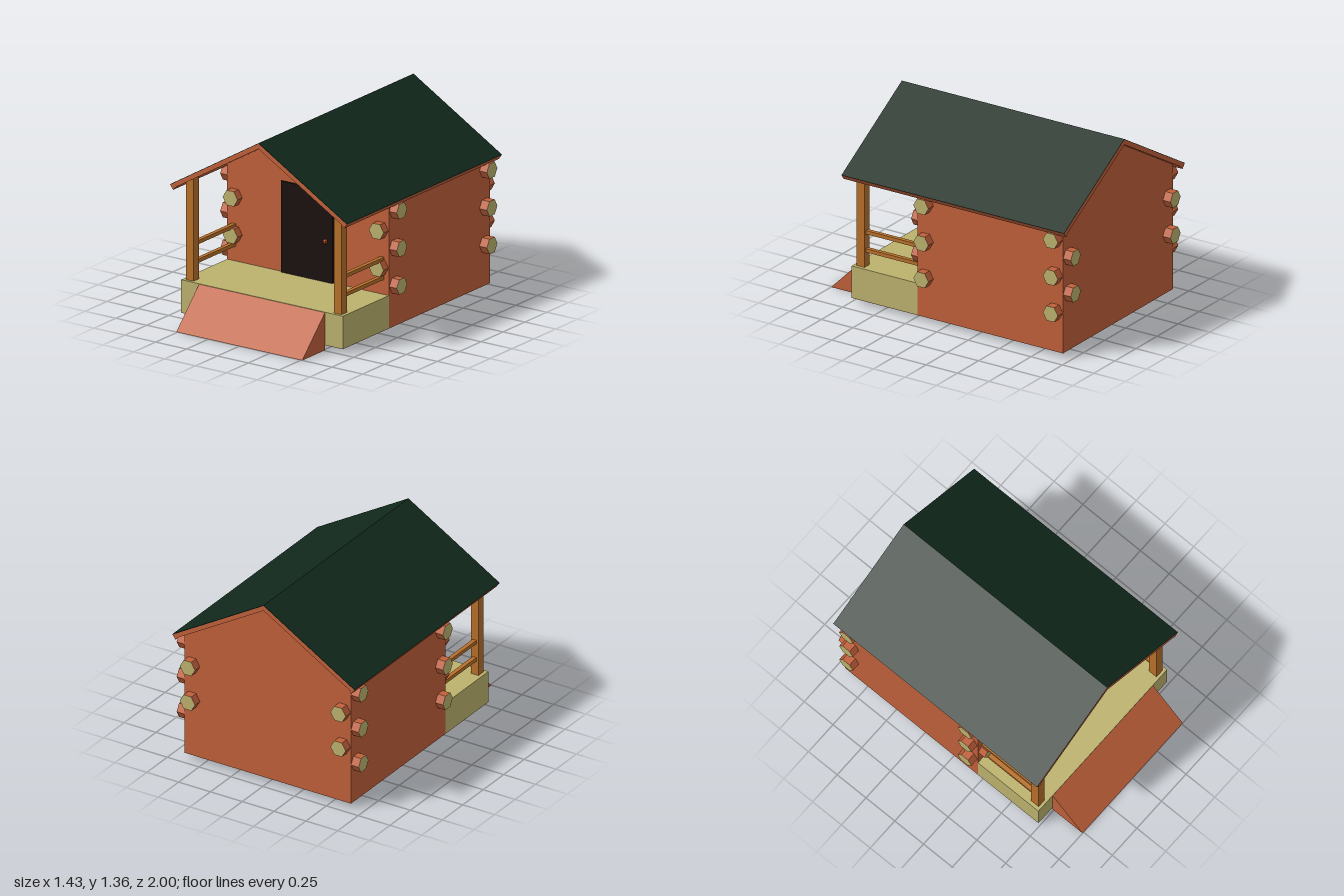
import * as THREE from 'three';

const mat = (color) => new THREE.MeshStandardMaterial({ color, flatShading: true });
const timber = mat(0xc0603a);
const khaki = mat(0xbcb26e);
const postWood = mat(0xb8702a);
const green = mat(0x11281b);
const black = mat(0x1a110e);
const knobRed = mat(0xa03c14);

export function createModel() {
  const model = new THREE.Group();

  const add = (name, geometry, material, x = 0, y = 0, z = 0) => {
    const mesh = new THREE.Mesh(geometry, material);
    mesh.name = name;
    mesh.position.set(x, y, z);
    model.add(mesh);
    return mesh;
  };
  // Box given by its minimum and maximum corners
  const box = (name, material, [x0, y0, z0], [x1, y1, z1]) =>
    add(name, new THREE.BoxGeometry(x1 - x0, y1 - y0, z1 - z0), material,
      (x0 + x1) / 2, (y0 + y1) / 2, (z0 + z1) / 2);
  // Front-facing outline pushed from z0 to z1
  const prism = (name, material, points, z0, z1) => {
    const shape = new THREE.Shape(points.map(([x, y]) => new THREE.Vector2(x, y)));
    return add(name, new THREE.ExtrudeGeometry(shape, { depth: z1 - z0, bevelEnabled: false }),
      material, 0, 0, z0);
  };
  // Completes a symmetric outline from its right half, listed bottom to top
  const mirrored = (half) => [...half, ...half.filter(([x]) => x > 0).reverse().map(([x, y]) => [-x, y])];

  // Cabin body with gables, tucked slightly into the roof
  prism('cabinWalls', timber, mirrored([[0.655, 0.035], [0.655, 0.938], [0, 1.325]]), -0.94, 0.215);

  // Roof: timber deck with a thin green covering
  const deck = [[0.692, 0.895], [0.715, 0.927], [0, 1.351], [-0.715, 0.927], [-0.692, 0.895],
    [-0.668, 0.92], [0, 1.315], [0.668, 0.92]];
  prism('roofDeck', timber, deck, -0.99, 0.78);
  const cover = [[0.715, 0.927], [0.717, 0.93], [0, 1.355], [-0.717, 0.93], [-0.715, 0.927], [0, 1.351]];
  prism('roofCover', green, cover, -0.99, 0.78);

  // Porch floor, its timber underside and the entrance ramp
  box('porch', khaki, [-0.655, 0.037, 0.215], [0.655, 0.265, 0.74]);
  box('porchUnderside', timber, [-0.655, 0.035, 0.215], [0.655, 0.037, 0.74]);
  const ramp = prism('ramp', timber, [[0, 0], [0.26, 0], [0, 0.262]], -0.51, 0.51);
  ramp.geometry.translate(0, 0, -0.51).rotateY(-Math.PI / 2);
  ramp.position.set(0, 0, 0.74);

  // Door and knob
  box('door', black, [-0.21, 0.265, 0.21], [0.21, 0.9, 0.23]);
  add('doorKnob', new THREE.SphereGeometry(0.018, 8, 6), knobRed, 0.155, 0.55, 0.238);

  // Hexagonal log: timber sides and pale cut ends
  const logMaterials = [timber, khaki, khaki];
  const hexLog = (name, length) => {
    const geometry = new THREE.CylinderGeometry(0.06, 0.06, length, 6);
    return add(name, geometry, logMaterials);
  };
  // Logs across the cabin, showing at the side walls
  for (const z of [0.15, -0.88]) {
    for (const y of [0.325, 0.587, 0.85]) {
      const log = hexLog('crossLog', 1.43);
      log.rotation.z = Math.PI / 2;
      log.geometry.rotateY(0);
      log.position.set(0, y, z);
    }
  }

  for (const side of [-1, 1]) {
    // Logs along the cabin, showing at the front and back
    for (const y of [0.455, 0.715]) {
      const log = hexLog('lengthLog', 1.27);
      log.geometry.rotateY(Math.PI / 2);
      log.rotation.x = Math.PI / 2;
      log.position.set(side * 0.592, y, -0.365);
    }
    // Porch post with its top cut to the roof slope
    const inner = side * 0.57, outer = side * 0.63;
    prism('porchPost', postWood,
      [[inner, 0.265], [outer, 0.265], [outer, 0.948], [inner, 0.983]], 0.655, 0.72);
    // Porch rails
    for (const y of [0.382, 0.512]) {
      box('porchRail', postWood,
        [side * 0.6 - 0.015, y - 0.013, 0.21], [side * 0.6 + 0.015, y + 0.013, 0.66]);
    }
  }

  return model;
}
